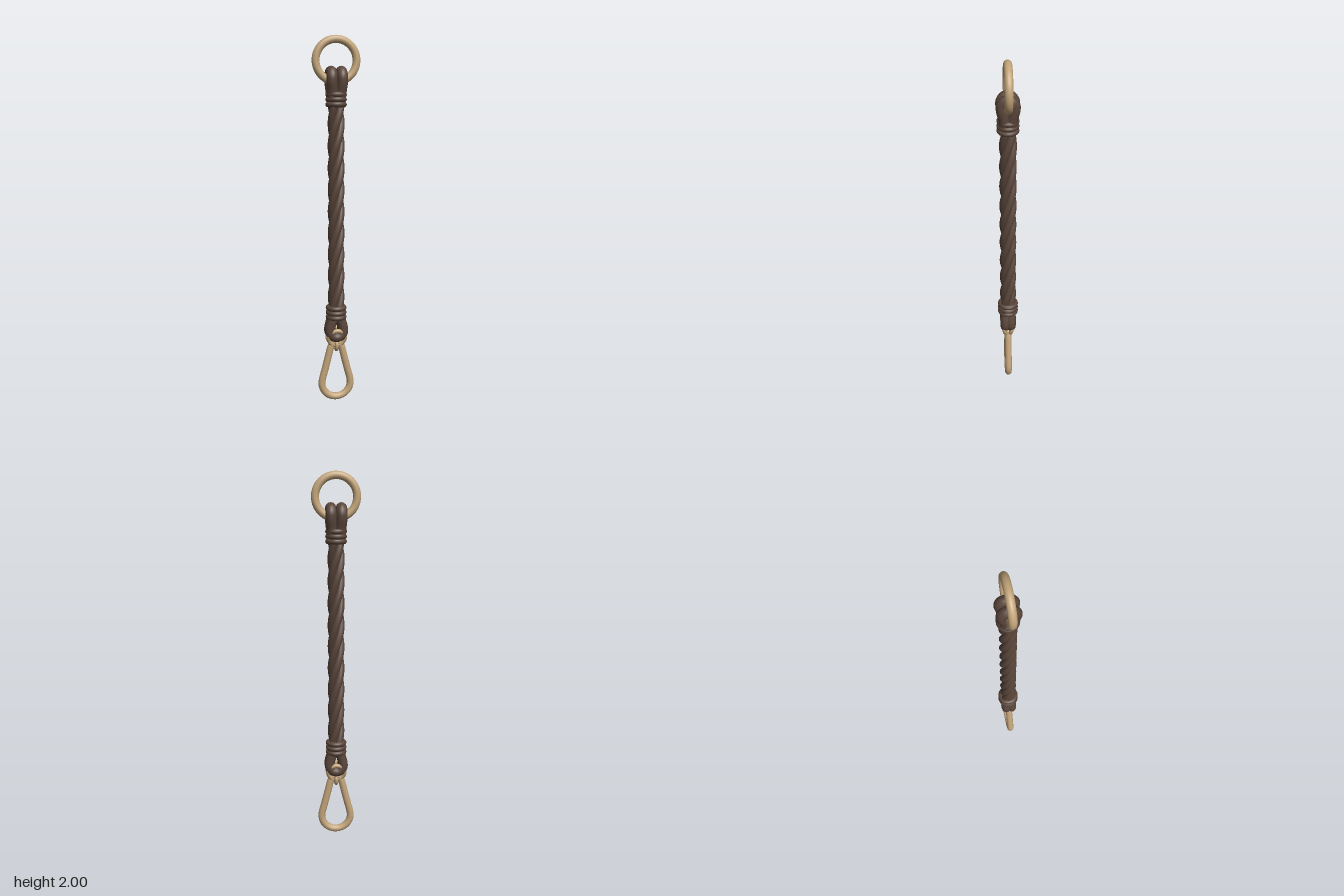
import * as THREE from 'three';

const V = (x, y, z) => new THREE.Vector3(x, y, z);

export function createModel() {
  const model = new THREE.Group();
  const rope = new THREE.MeshStandardMaterial({ color: 0x5a463b });
  rope.name = 'dark brown cord';
  const metal = new THREE.MeshStandardMaterial({ color: 0xc2a47a });
  metal.name = 'pale brass';

  const add = (name, geometry, material, parent = model) => {
    const mesh = new THREE.Mesh(geometry, material);
    mesh.name = name;
    parent.add(mesh);
    return mesh;
  };
  const tube = (points, radius, segments, closed = false) =>
    new THREE.TubeGeometry(new THREE.CatmullRomCurve3(points, closed), segments, radius, 14, closed);

  // Large ring at the top
  add('topRing', new THREE.TorusGeometry(0.11, 0.021, 18, 64), metal).position.y = 1.869;

  // Four strands twisted into the main rope
  const twisted = new THREE.Group();
  twisted.name = 'twistedRope';
  model.add(twisted);
  for (let s = 0; s < 4; s++) {
    const points = [];
    for (let i = 0; i <= 60; i++) {
      const t = i / 60;
      const a = s * Math.PI / 2 + t * Math.PI * 2 * 2.5;
      points.push(V(Math.sin(a) * 0.025, 0.49 + t * 1.18, Math.cos(a) * 0.025));
    }
    add('strand', tube(points, 0.0205, 160), rope, twisted);
  }

  // Cord wound three times round each end of the rope
  for (const centre of [1.665, 0.505]) {
    for (let i = -1; i <= 1; i++) {
      const wrap = add('whipping', new THREE.TorusGeometry(0.043, 0.0145, 12, 40), rope);
      wrap.rotation.x = Math.PI / 2;
      wrap.position.y = centre + i * 0.026;
    }
  }

  // Double cord eyes: the upper pair holds the ring, the lower pair is turned a quarter
  const profile = [[-0.016, 0], [-0.02, 0.05], [-0.031, 0.1], [-0.031, 0.128], [-0.018, 0.148], [0, 0.154]];
  const half = profile.slice(0, -1).reverse().map(([u, h]) => [-u, h]);
  const eye = [...profile, ...half];
  for (const side of [-1, 1]) {
    const offset = h => side * (0.019 + 0.009 * Math.min(1, h / 0.1));
    add('upperEye', tube(eye.map(([u, h]) => V(offset(h), 1.658 + h, u)), 0.029, 60), rope);
    add('lowerEye', tube(eye.map(([u, h]) => V(u * 1.15, 0.52 - h, side * 0.017)), 0.027, 60), rope);
  }

  // Two small rings leaning apart at the top, meeting below the lower eye
  for (const side of [-1, 1]) {
    const ring = add('smallRing', new THREE.TorusGeometry(0.046, 0.011, 12, 40), metal);
    ring.position.set(0, 0.362, side * 0.021);
    ring.rotation.x = side * 0.3;
  }

  // Upright link that joins the small rings to the clip
  const link = add('joiningLink', new THREE.TorusGeometry(0.022, 0.01, 12, 32), metal);
  link.rotation.y = Math.PI / 2;
  link.scale.y = 1.15;
  link.position.y = 0.318;

  // Pear shaped clip: wide round base, straight sides, narrow crown
  const clip = [];
  for (let i = 0; i <= 12; i++) {
    const a = Math.PI * (-1.07 + 1.14 * i / 12);
    clip.push(V(Math.cos(a) * 0.081, 0.1 + Math.sin(a) * 0.08, 0));
  }
  clip.push(V(0.063, 0.18, 0), V(0.045, 0.25, 0), V(0.029, 0.31, 0), V(0.017, 0.332, 0), V(0, 0.338, 0),
    V(-0.017, 0.332, 0), V(-0.029, 0.31, 0), V(-0.045, 0.25, 0), V(-0.063, 0.18, 0));
  add('clip', tube(clip, 0.0195, 120, true), metal);

  return model;
}
